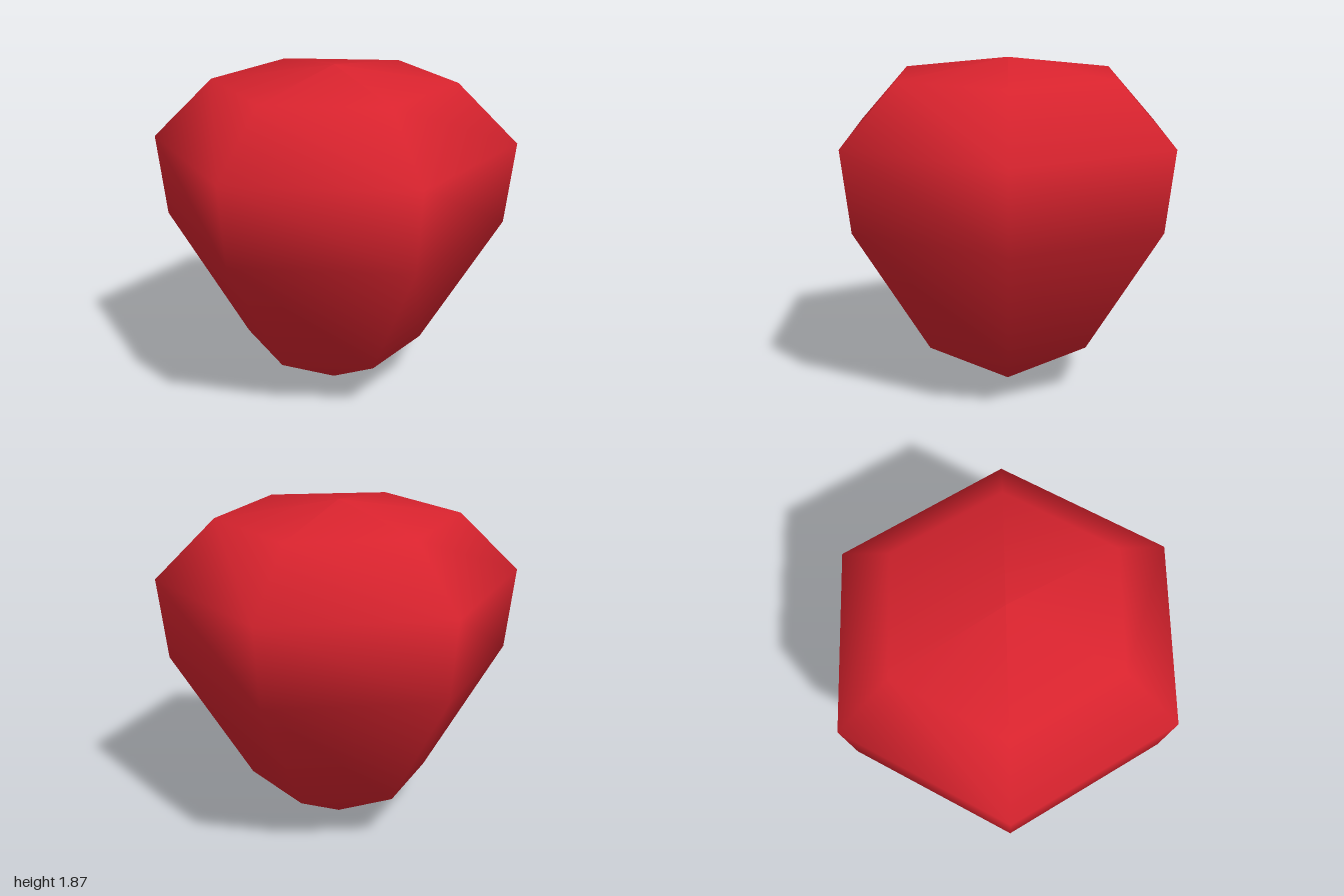
import * as THREE from 'three';

export function createModel() {
  const group = new THREE.Group();
  group.name = 'gem';

  const red = new THREE.MeshStandardMaterial({ color: 0xd9232e });
  red.name = 'red';

  // Profile from the pointed base, past the girdle, to the shallow crown
  const profile = [
    [0, 0], [0.5, 0.28], [0.945, 1.0], [1.0, 1.45], [0.67, 1.78], [0, 1.87],
  ].map(([r, y]) => new THREE.Vector2(r, y));

  // Six-sided smooth-shaded body with corners on the x axis
  const body = new THREE.Mesh(new THREE.LatheGeometry(profile, 6, Math.PI / 2), red);
  body.name = 'gemBody';
  group.add(body);

  return group;
}
